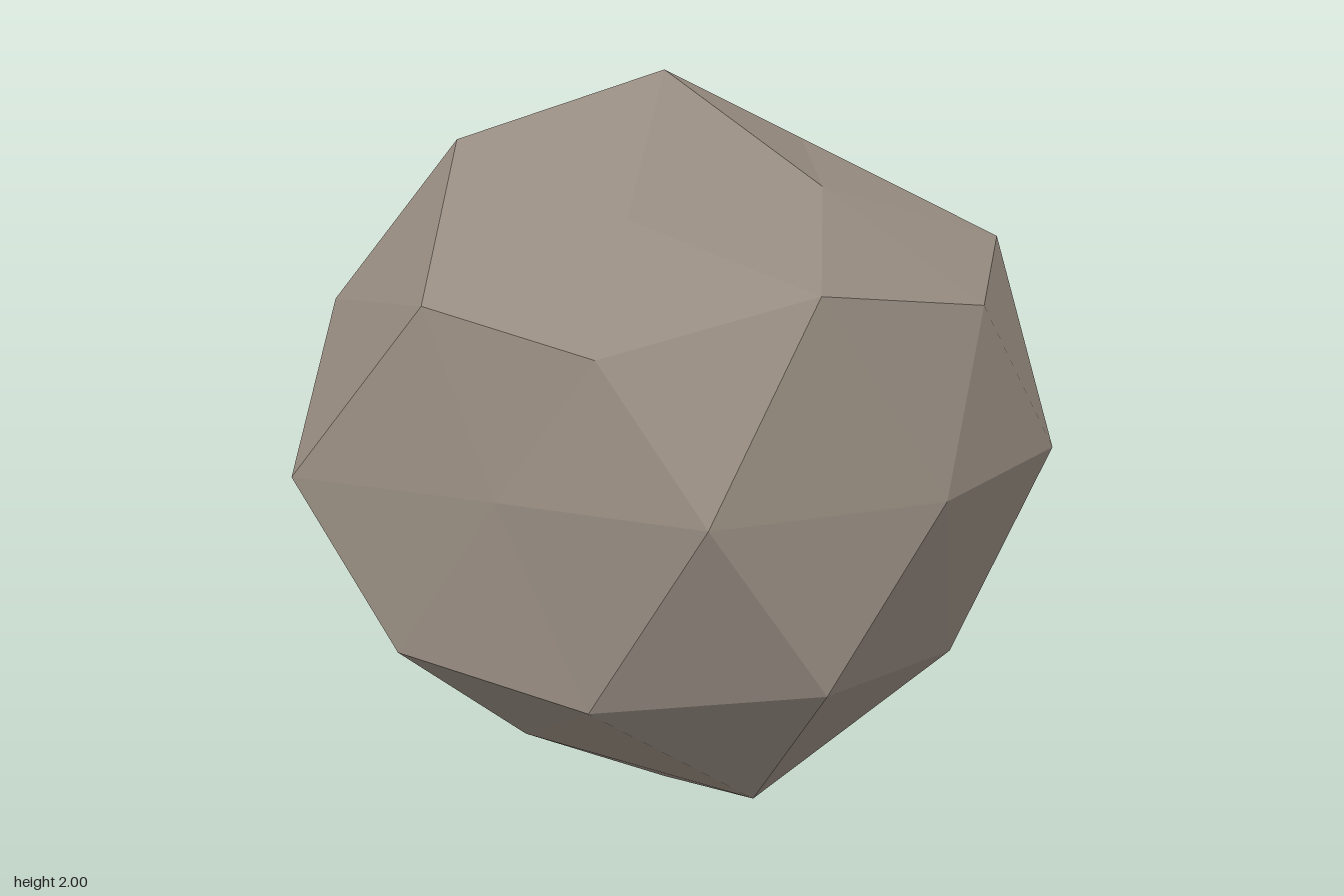
import * as THREE from 'three';

// Rings of a once-subdivided icosphere, from top to bottom:
// unit height, and how far each vertex is pushed out, going round from +x to +z.
const A = 0.8507, B = 0.5257, C = 0.4472;
const top = [1.0];
const crown = [0.911, 0.84, 0.776, 0.969, 0.758];
const upper = [0.897, 1.004, 0.977, 1.012, 0.823, 0.883, 0.908, 0.893, 0.887, 1.04];
const belt = [0.888, 0.989, 0.971, 0.952, 0.77, 0.967, 0.796, 0.943, 0.86, 0.903];
const lower = [0.853, 0.939, 0.951, 1.027, 0.962, 0.939, 0.78, 1.024, 1.014, 0.747];
const foot = [0.834, 1.021, 0.875, 0.86, 0.926];
const bottom = [1.0];

function rockGeometry() {
  const positions = [];
  // Adds a ring and returns a function giving its vertex numbers, wrapping round
  const ring = (pushes, startDegrees, height) => {
    const first = positions.length / 3;
    const n = pushes.length;
    pushes.forEach((push, i) => {
      const angle = THREE.MathUtils.degToRad(startDegrees + (360 / n) * i);
      const y = height(i);
      const r = Math.sqrt(1 - y * y);
      // Slightly wider than tall
      positions.push(
        0.03 + 1.12 * push * r * Math.cos(angle),
        1 + push * y,
        -0.015 + 1.045 * push * r * Math.sin(angle)
      );
    });
    return (i) => first + ((i + n) % n);
  };

  const t = ring(top, 0, () => 1);
  const a = ring(crown, 0, () => A);
  const u = ring(upper, 0, (i) => (i % 2 ? B : C));
  const e = ring(belt, 18, () => 0);
  const d = ring(lower, 0, (i) => (i % 2 ? -C : -B));
  const f = ring(foot, 36, () => -A);
  const b = ring(bottom, 0, () => -1);

  const faces = [];
  for (let k = 0; k < 5; k++) {
    // Top cap
    faces.push(t(0), a(k + 1), a(k));
    faces.push(a(k), u(2 * k + 1), u(2 * k));
    faces.push(a(k), a(k + 1), u(2 * k + 1));
    faces.push(a(k + 1), u(2 * k + 2), u(2 * k + 1));
    // Bottom cap
    faces.push(b(0), f(k), f(k + 1));
    faces.push(f(k), d(2 * k), d(2 * k + 1));
    faces.push(f(k), d(2 * k + 1), d(2 * k + 2));
    faces.push(f(k), d(2 * k + 2), f(k + 1));
  }
  for (let j = 0; j < 10; j++) {
    // Bands above and below the belt
    faces.push(u(j), u(j + 1), e(j));
    faces.push(u(j + 1), e(j + 1), e(j));
    faces.push(d(j + 1), d(j), e(j));
    faces.push(d(j + 1), e(j), e(j + 1));
  }

  const indexed = new THREE.BufferGeometry();
  indexed.setAttribute('position', new THREE.Float32BufferAttribute(positions, 3));
  indexed.setIndex(faces);
  const geometry = indexed.toNonIndexed(); // separate faces give flat facets
  geometry.computeVertexNormals();
  return geometry;
}

export function createModel() {
  const stone = new THREE.MeshStandardMaterial({ color: 0x968b80, flatShading: true });
  stone.name = 'stone';

  const boulder = new THREE.Mesh(rockGeometry(), stone);
  boulder.name = 'boulder';

  const model = new THREE.Group();
  model.name = 'rock';
  model.add(boulder);
  return model;
}
